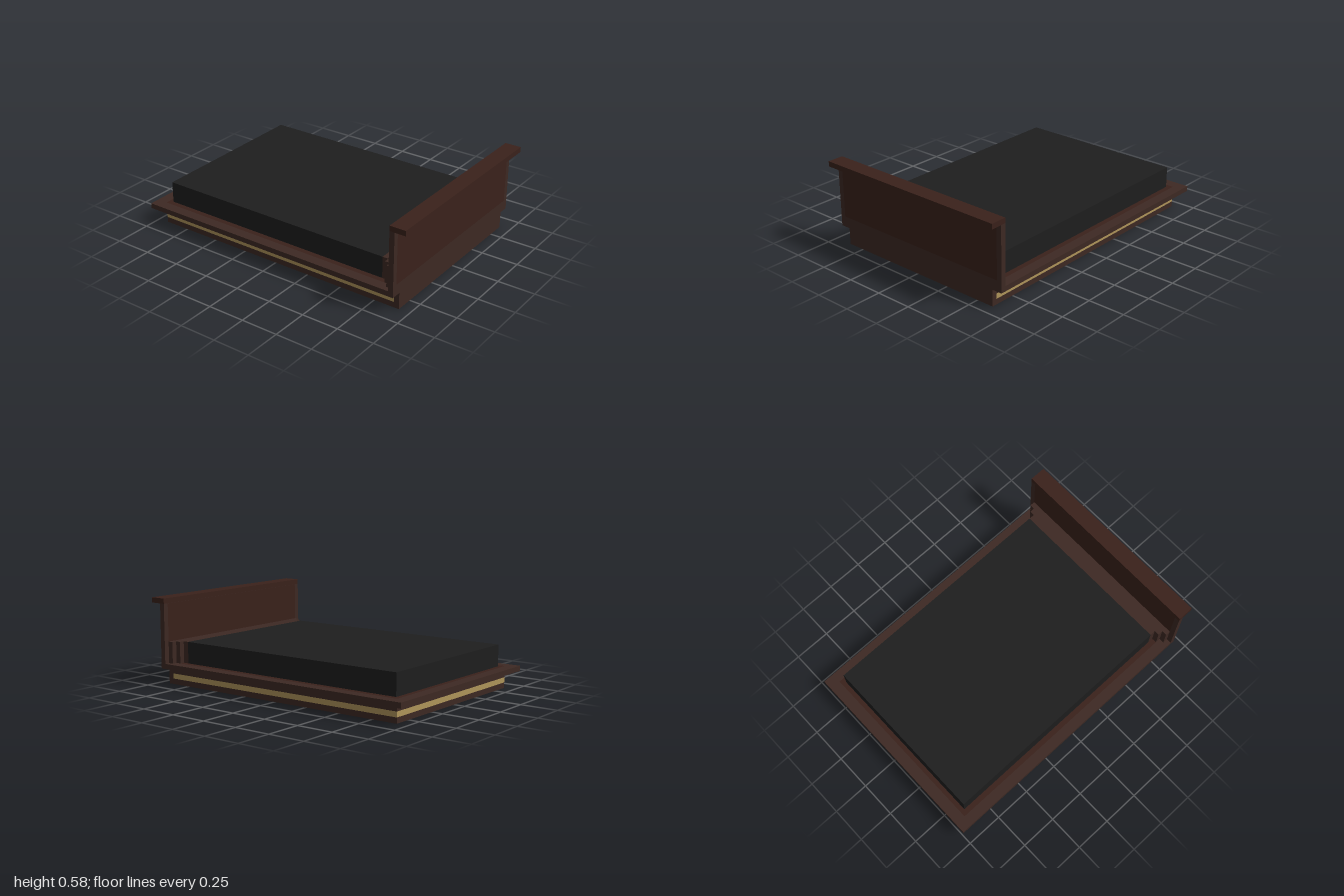
import * as THREE from 'three';

const mat = (color) => new THREE.MeshStandardMaterial({ color });

export function createModel() {
  const wood = mat(0x3d2923), redWood = mat(0x3a211b), gold = mat(0xb0955a), black = mat(0x1e1e1e);
  const bed = new THREE.Group();
  bed.name = 'bed';

  // Box centred on x, given its half width and its y and z ranges
  const slab = (name, material, hw, y0, y1, z0, z1, parent = bed) => {
    const m = new THREE.Mesh(new THREE.BoxGeometry(hw * 2, y1 - y0, z1 - z0), material);
    m.position.set(0, (y0 + y1) / 2, (z0 + z1) / 2);
    m.name = name;
    parent.add(m);
    return m;
  };

  // Flat board with a rectangular opening, extruded along z
  const frame = (name, material, hw, y0, y1, hole, depth) => {
    const rect = (path, w, a, b) => path.moveTo(-w, a).lineTo(w, a).lineTo(w, b).lineTo(-w, b).closePath();
    const s = new THREE.Shape();
    rect(s, hw, y0, y1);
    const h = new THREE.Path();
    rect(h, ...hole);
    s.holes.push(h);
    const m = new THREE.Mesh(new THREE.ExtrudeGeometry(s, { depth, bevelEnabled: false }), material);
    m.name = name;
    bed.add(m);
    return m;
  };

  const backZ = -0.925, headIn = 0.89, headOut = 0.925;

  // Plinth in three layers with a gold band on the sides and foot end
  slab('plinthBottom', wood, 0.62, 0, 0.037, backZ, headIn);
  slab('goldBand', gold, 0.62, 0.037, 0.072, backZ, headIn);
  slab('plinthTop', wood, 0.62, 0.072, 0.112, backZ, headIn);
  slab('plinthHeadEnd', wood, 0.62, 0, 0.112, headIn, headOut);

  // Overhanging platform rim with a flush inlaid deck
  const rim = frame('platformRim', wood, 0.69, -headIn, 1, [0.62, -0.82, 0.925], 0.035);
  rim.rotation.x = -Math.PI / 2;
  rim.position.y = 0.112;
  slab('platformDeck', redWood, 0.62, 0.112, 0.147, backZ, 0.82);

  // Mattress
  slab('mattress', black, 0.585, 0.147, 0.292, -0.895, 0.78);

  // Stepped bolster shelf between mattress and headboard
  const shelf = new THREE.Group();
  shelf.name = 'headShelf';
  bed.add(shelf);
  [[0.585, 0.78, 0.82], [0.62, 0.82, 0.855], [0.655, 0.855, headIn]].forEach(([hw, z0, z1], i) =>
    slab('shelfStep' + (i + 1), wood, hw, 0.147, 0.292, z0, z1, shelf));

  // Headboard frame, inset panel and outward cap
  frame('headboardFrame', wood, 0.69, 0.112, 0.548, [0.655, 0.185, 0.547], headOut - headIn).position.z = headIn;
  slab('headboardPanel', redWood, 0.655, 0.185, 0.547, headIn, headOut);
  slab('headboardCap', redWood, 0.69, 0.548, 0.583, headIn, 1);

  return bed;
}
